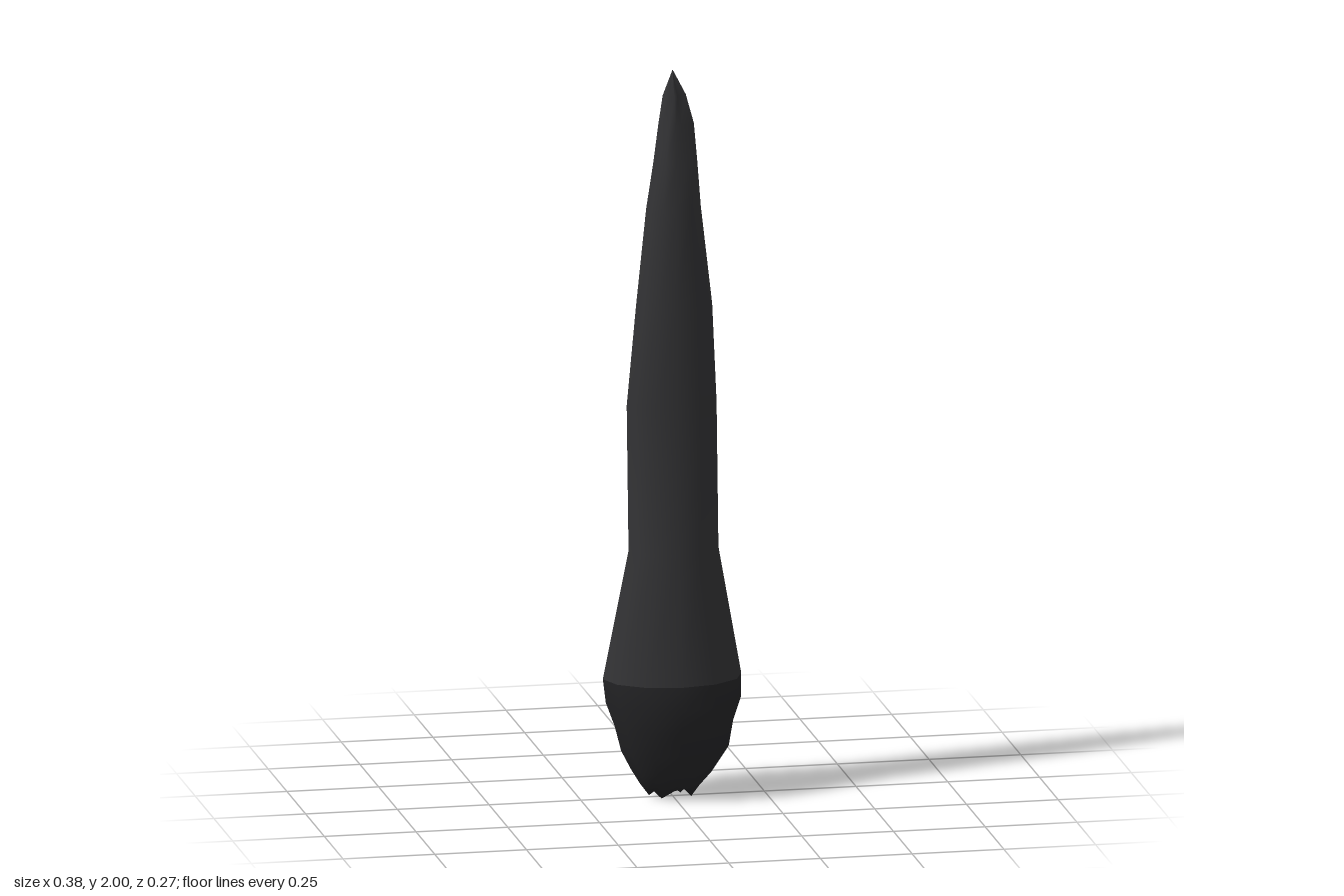
import * as THREE from 'three';

const SIDES = 12;

// Skins a stack of oval rings [y, left, right, front, back];
// tweak(level, side) returns [radius factor, height offset] for folds and ragged rims.
function loft(rings, tweak = () => [1, 0]) {
  const pos = [], index = [];
  rings.forEach(([y, left, right, front, back], i) => {
    for (let j = 0; j < SIDES; j++) {
      const a = (j / SIDES) * Math.PI * 2;
      const c = Math.cos(a), s = Math.sin(a);
      const [f, dy] = tweak(i, j);
      pos.push(c * f * (c > 0 ? left : right), y + dy, s * f * (s > 0 ? front : back));
    }
  });
  for (let i = 0; i < rings.length - 1; i++) {
    for (let j = 0; j < SIDES; j++) {
      const k = (j + 1) % SIDES;
      const a = i * SIDES + j, b = i * SIDES + k;
      index.push(a, a + SIDES, b, b, a + SIDES, b + SIDES);
    }
  }
  const geo = new THREE.BufferGeometry();
  geo.setAttribute('position', new THREE.Float32BufferAttribute(pos, 3));
  geo.setIndex(index);
  geo.computeVertexNormals();
  return geo;
}

function part(name, geo, color) {
  const mesh = new THREE.Mesh(geo, new THREE.MeshStandardMaterial({ color, side: THREE.DoubleSide }));
  mesh.name = name;
  return mesh;
}

export function createModel() {
  const group = new THREE.Group();
  group.name = 'taperedBud';

  // Long tapering shaft, with narrow folds pressed in near the tip
  const shaft = [
    [0.33, 0.187, 0.19, 0.135, 0.137],
    [0.68, 0.125, 0.12, 0.09, 0.088],
    [1.08, 0.12, 0.125, 0.079, 0.078],
    [1.35, 0.108, 0.1, 0.073, 0.07],
    [1.62, 0.077, 0.072, 0.06, 0.056],
    [1.75, 0.067, 0.052, 0.05, 0.044],
    [1.85, 0.058, 0.039, 0.04, 0.034],
    [1.93, 0.036, 0.027, 0.024, 0.02],
    [2.0, 0, 0, 0, 0],
  ];
  const folds = { 2: 0.6, 4: 0.75, 10: 0.6 };
  group.add(part('shaft', loft(shaft, (i, j) => [(i === 6 || i === 7) && folds[j] || 1, 0]), 0x333335));

  // Bulbous base ending in a ragged rim around a shallow hollow
  const base = [
    [0.05, 0, 0, 0, 0],
    [0.015, 0.055, 0.07, 0.03, 0.035],
    [0.035, 0.075, 0.085, 0.055, 0.06],
    [0.075, 0.11, 0.108, 0.08, 0.08],
    [0.13, 0.153, 0.14, 0.1, 0.108],
    [0.2, 0.165, 0.158, 0.122, 0.112],
    [0.265, 0.187, 0.182, 0.136, 0.125],
    [0.33, 0.187, 0.19, 0.135, 0.137],
  ];
  const ragged = (i, j) => {
    if (i === 1) return [1, j % 3 === 0 ? 0.005 : j % 3 === 1 ? -0.015 : 0.01];
    if (i === 2 || i === 3) return [1 + 0.05 * Math.sin(j * 2.4), 0.008 * Math.cos(j * 1.9)];
    return [1, 0];
  };
  group.add(part('base', loft(base, ragged), 0x252527));

  return group;
}
